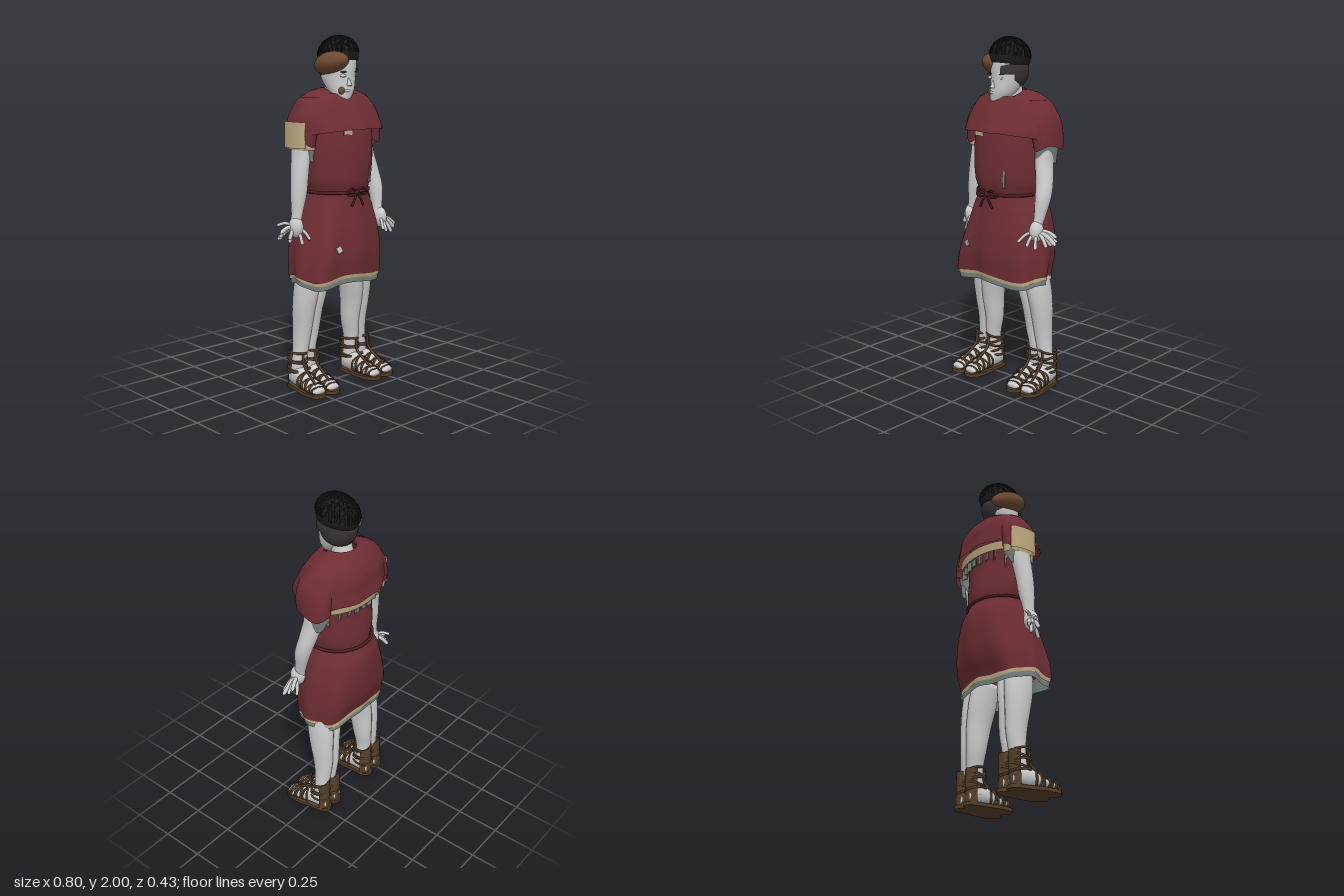
import * as THREE from 'three';

const mat = (color, extra = {}) => new THREE.MeshStandardMaterial({ color, side: THREE.DoubleSide, ...extra });
const skin = mat(0xcccccc), red = mat(0x6e2d34), darkRed = mat(0x4d1e24), hairMat = mat(0x1b1b1c, { flatShading: true });
const temple = mat(0x3a3236), scalp = mat(0x6f4a33), leather = mat(0x56402b), beige = mat(0xbfa982), lining = mat(0x77847f);

// Catmull-Rom resampling of cross-section rows
function smoothRows(rows, steps) {
  const out = [], last = rows.length - 1, at = i => rows[Math.min(last, Math.max(0, i))];
  for (let i = 0; i < last; i++) for (let s = 0; s < steps; s++) {
    const t = s / steps, [a, b, c, d] = [at(i - 1), at(i), at(i + 1), at(i + 2)];
    const blend = (v, k) => 0.5 * (2 * v + (c[k] - a[k]) * t
      + (2 * a[k] - 5 * v + 4 * c[k] - d[k]) * t * t + (3 * v - a[k] - 3 * c[k] + d[k]) * t * t * t);
    out.push(b.map((v, k) => (k === 0 ? v + (c[0] - v) * t : blend(v, k))));
  }
  out.push(rows[last]);
  return out;
}

// Skin over rings [y, centreX, radiusX, centreZ, radiusZ], rows given from low to high
function loft(rows, { n = 32, steps = 4, caps = false, fold = () => 1, rise = () => 0 } = {}) {
  const r = smoothRows(rows, steps), pos = [], idx = [];
  r.forEach(([y, cx, rx, cz, rz], i) => {
    const t = i / (r.length - 1);
    for (let j = 0; j < n; j++) {
      const a = j / n * Math.PI * 2, f = fold(a, t);
      pos.push(cx + rx * f * Math.cos(a), y + rise(a, t), cz + rz * f * Math.sin(a));
    }
  });
  for (let i = 0; i < r.length - 1; i++) for (let j = 0; j < n; j++) {
    const a = i * n + j, b = i * n + (j + 1) % n;
    idx.push(a, a + n, b, b, a + n, b + n);
  }
  if (caps) [0, r.length - 1].forEach((i, top) => {
    const c = pos.length / 3, [y, cx, , cz] = r[i];
    pos.push(cx, y, cz);
    for (let j = 0; j < n; j++) {
      const a = i * n + j, b = i * n + (j + 1) % n;
      idx.push(c, ...(top ? [b, a] : [a, b]));
    }
  });
  const g = new THREE.BufferGeometry();
  g.setAttribute('position', new THREE.Float32BufferAttribute(pos, 3));
  g.setIndex(idx);
  g.computeVertexNormals();
  return g;
}

function add(parent, name, geo, material, p = [0, 0, 0], s = [1, 1, 1], r = [0, 0, 0]) {
  const m = new THREE.Mesh(geo, material);
  m.name = name;
  m.position.set(...p); m.scale.set(...s); m.rotation.set(...r);
  parent.add(m);
}
const ball = new THREE.SphereGeometry(1, 24, 16);
const tube = (pts, r, closed = false) => new THREE.TubeGeometry(
  new THREE.CatmullRomCurve3(pts.map(p => new THREE.Vector3(...p)), closed), closed ? 40 : 10, r, 6, closed);
const group = (parent, name) => { const g = new THREE.Group(); g.name = name; parent.add(g); return g; };

function buildHead(root) {
  const head = group(root, 'head');
  add(head, 'neck', loft([[1.58, 0, .075, -.03, .07], [1.68, -.005, .06, -.02, .06], [1.78, 0, .06, .01, .06]], { n: 20 }), skin);
  add(head, 'face', loft([[1.63, -.03, .02, .095, .02], [1.66, -.025, .052, .07, .05], [1.70, -.015, .073, .045, .08],
    [1.76, -.008, .087, .018, .105], [1.83, -.005, .09, .012, .115], [1.90, 0, .085, .01, .11], [1.95, 0, .05, .01, .07]], { caps: true }), skin);
  add(head, 'nose', new THREE.ConeGeometry(.016, .06, 8), skin, [-.025, 1.75, .12], [1, 1, .9], [-.2, 0, 0]);
  for (const x of [-.055, .02]) {
    add(head, 'eye', ball, skin, [x, 1.776, .106], [.018, .009, .013]);
    add(head, 'brow', ball, temple, [x, 1.797, .11], [.024, .005, .01]);
  }
  add(head, 'mouth', ball, skin, [-.03, 1.695, .115], [.024, .009, .012]);
  add(head, 'beardPatch', ball, scalp, [-.058, 1.695, .1], [.022, .022, .016]);
  // Dark band around the brow and cropped hair behind the ears
  add(head, 'browBand', new THREE.SphereGeometry(1, 32, 8, Math.PI * .6, Math.PI * 1.35, 1.1, .65), temple, [0, 1.815, .01], [.097, .1, .119]);
  add(head, 'croppedHair', new THREE.SphereGeometry(1, 32, 10, Math.PI * .82, Math.PI * 1.28, 1.2, 1.2), temple, [0, 1.81, .002], [.096, .11, .109]);
  add(head, 'bareScalp', ball, scalp, [-.066, 1.845, .024], [.078, .064, .117], [-.22, 0, 0]);

  // Hair cap crossed by braids
  const hair = group(head, 'hair');
  hair.position.set(0, 1.888, .007); hair.scale.set(.101, .107, .132); hair.rotation.x = -.15;
  add(hair, 'hairCap', new THREE.SphereGeometry(.99, 24, 14, 0, Math.PI * 2, 0, Math.PI * .64), hairMat);
  for (let k = 0; k < 4; k++) for (let i = -5; i <= 5; i++) {
    const d = i / 6 + .03 * Math.sin(i * 7 + k * 3), rad = Math.sqrt(1 - d * d), yaw = k * Math.PI / 4 + .08 * Math.sin(i * 5 + k);
    const braid = new THREE.TorusGeometry(rad, .028, 4, 20, Math.PI).translate(0, 0, d);
    add(hair, 'braid', braid, hairMat, [0, 0, 0], [1, 1, 1], [0, yaw, 0]);
  }
}

function buildTunic(root) {
  const tunic = group(root, 'tunic');
  const soft = (a, t) => 1 + .022 * Math.sin(7 * a + 1) * (1 - t);
  add(tunic, 'bodice', loft([[1.12, -.008, .185, -.003, .165], [1.2, -.008, .207, .005, .177], [1.34, -.005, .214, .013, .174],
    [1.5, 0, .21, .008, .165], [1.6, 0, .2, -.01, .14]], { n: 48, fold: soft }), red);
  // Boxy skirt with folds that deepen toward the hem and one flared front corner
  const fold = (a, t) => {
    const p = 2 + .7 * (1 - t), box = (Math.abs(Math.cos(a)) ** p + Math.abs(Math.sin(a)) ** p) ** (-1 / p);
    const corner = .13 * Math.exp(-(((a - 2.25) / .22) ** 2));
    return box * (1 + (1 - t) * (.035 * Math.cos(8 * a) + .02 * Math.sin(5 * a + .5) + corner));
  };
  const wave = (a, t) => (1 - t) * .012 * Math.sin(4 * a + 1);
  const skirt = [[.66, -.028, .288, .015, .165], [.78, -.018, .282, .002, .193], [.92, -.006, .258, -.008, .197],
    [1.05, -.005, .222, -.014, .187], [1.13, -.008, .19, -.003, .168]];
  add(tunic, 'skirt', loft(skirt, { n: 96, fold, rise: wave }), red);
  const hem = (y0, y1, s) => loft([[y0, -.024, .288 * s, .012, .165 * s], [y1, -.027, .288 * s, .014, .168 * s]],
    { n: 96, steps: 1, fold: a => fold(a, 0), rise: a => wave(a, 0) });
  add(tunic, 'hemTrim', hem(.64, .675, .985), beige);
  add(tunic, 'underskirt', hem(.612, .70, .96), lining);

  // Shoulder cape: the front edge sits higher than the sides
  add(tunic, 'cape', loft([[1.46, 0, .299, -.003, .212], [1.52, 0, .297, -.012, .193], [1.59, 0, .28, -.025, .172],
    [1.65, 0, .238, -.028, .142], [1.69, 0, .165, -.02, .115], [1.708, 0, .085, -.01, .088]], {
    n: 64, fold: (a, t) => 1 + (1 - t) * .025 * Math.sin(9 * a),
    rise: (a, t) => (1 - t) * (.025 * Math.max(0, Math.sin(a)) - .015 * Math.cos(a) ** 4) - t ** 4 * .045 * Math.max(0, Math.sin(a)),
  }), red);
  const arc = (y, rx, rz, cx, cz, from, to) => Array.from({ length: 9 }, (_, i) => {
    const a = from + (to - from) * i / 8;
    return [cx + rx * Math.cos(a), y, cz + rz * Math.sin(a)];
  });
  add(tunic, 'backTrim', new THREE.CylinderGeometry(1, .97, .05, 32, 1, true, Math.PI * .68, Math.PI * .64), beige, [0, 1.435, -.005], [.275, 1, .192]);
  for (let i = -3; i <= 3; i++)
    add(tunic, 'backTatter', new THREE.BoxGeometry(.035, .045 + .012 * Math.abs(i % 2), .008), lining,
      [i * .052, 1.395, -.172 + .004 * i * i], [1, 1, 1], [0, i * .13, 0]);
  add(tunic, 'chestPatch', new THREE.BoxGeometry(.06, .03, .01), beige, [-.08, 1.472, .172]);
  add(tunic, 'sideTear', new THREE.BoxGeometry(.012, .1, .008), lining, [.095, 1.23, .166], [1, 1, 1], [0, .25, -.05]);
  add(tunic, 'skirtTear', new THREE.BoxGeometry(.03, .035, .008), skin, [-.165, .83, .195], [1, 1, 1], [0, -.3, .5]);

  for (const s of [-1, 1]) {
    const ragged = (a, t) => (1 - t) * .015 * Math.sin(3 * a);
    add(tunic, 'sleeve', loft([[1.405, s * .25, .062, -.03, .105], [1.5, s * .24, .067, -.025, .113], [1.58, s * .222, .062, -.025, .1],
      [1.66, s * .17, .05, -.02, .07]], { rise: ragged }), red);
    add(tunic, 'sleeveLining', loft([[1.335, s * .226, .046, -.035, .075], [1.45, s * .238, .054, -.03, .095]], { rise: (a, t) => ragged(a, t) * 2 }), lining);
  }
  add(tunic, 'sleeveTrim', loft([[1.375, -.243, .056, -.03, .095], [1.43, -.246, .059, -.03, .1]]), beige);
  add(tunic, 'sleevePatch', loft([[1.385, -.29, .026, -.03, .085], [1.53, -.288, .022, -.03, .085]], { n: 16 }), beige);

  // Cord belt with a bow
  add(tunic, 'belt', tube(arc(1.135, .195, .176, -.008, -.003, 0, Math.PI * 16 / 9), .009, true), darkRed);
  const bow = group(tunic, 'bow');
  bow.position.set(-.02, 1.135, .178);
  add(bow, 'knot', ball, darkRed, [0, 0, 0], [.017, .015, .014]);
  for (const s of [-1, 1]) {
    add(bow, 'bowLoop', tube([[0, 0, 0], [s * .045, .022, .008], [s * .075, -.005, .006], [s * .035, -.015, .01]], .006, true), darkRed);
    add(bow, 'bowTail', tube([[0, 0, 0], [s * .022, -.035, .012], [s * .045, -.075, .008]], .006), darkRed);
  }
}

function buildArm(root, name, rows, palm, tips) {
  const arm = group(root, name);
  add(arm, 'armSkin', loft(rows, { n: 20, caps: true }), skin);
  add(arm, 'palm', ball, skin, palm, [.038, .06, .045]);
  tips.forEach((tip, i) => {
    const mid = palm.map((v, k) => v + (tip[k] - v) * .6 + (k === 1 ? .014 : 0));
    add(arm, 'finger', tube([palm, mid, tip], .0125 - .0005 * i), skin);
    add(arm, 'fingertip', ball, skin, tip, [.009, .009, .009]);
  });
}

// Foot with a strapped sandal, heel toward -z
function buildFoot(root, x, yaw) {
  const foot = group(root, 'sandalledFoot');
  foot.position.x = x; foot.rotation.y = yaw;
  const rows = [[-.105, 0, .028, -.05, .03], [-.06, 0, .044, -.068, .055], [0, 0, .047, -.068, .055], [.07, 0, .053, -.05, .035],
    [.13, 0, .054, -.038, .022], [.17, 0, .035, -.032, .013]];
  add(foot, 'footSkin', loft(rows, { n: 20, caps: true }).rotateX(Math.PI / 2), skin);
  const sole = new THREE.Shape();
  sole.moveTo(0, -.19);
  sole.bezierCurveTo(.07, -.19, .065, -.08, .05, 0);
  sole.bezierCurveTo(.045, .06, .055, .12, 0, .122);
  sole.bezierCurveTo(-.055, .12, -.045, .06, -.05, 0);
  sole.bezierCurveTo(-.065, -.08, -.07, -.19, 0, -.19);
  add(foot, 'sole', new THREE.ExtrudeGeometry(sole, { depth: .02, bevelEnabled: false, curveSegments: 8 }).rotateX(-Math.PI / 2), leather);
  const ring = new THREE.TorusGeometry(1, .12, 5, 20);
  for (const [z, w, h, y, tilt] of [[.15, .048, .02, .036, 0], [.12, .056, .028, .04, .25], [.12, .056, .028, .04, -.25],
    [.08, .056, .038, .05, .3], [.08, .056, .038, .05, -.3], [.035, .054, .05, .06, .3], [.035, .054, .05, .06, -.3]])
    add(foot, 'toeStrap', ring, leather, [0, y, z], [w, h, .06], [0, tilt, 0]);
  for (let i = 0; i < 5; i++)
    add(foot, 'ankleStrap', ring, leather, [0, .095 + i * .028, -.05], [.052, .06 - i * .002, .06], [Math.PI / 2 + (i % 2 ? .25 : -.1), i % 2 ? .15 : -.15, 0]);
  add(foot, 'heelGuard', new THREE.CylinderGeometry(.053, .052, .19, 16, 1, true, Math.PI * .6, Math.PI * .8), leather, [0, .115, -.053], [.95, 1, 1.1]);
  add(foot, 'lace', tube([[0, .06, .13], [0, .1, .07], [0, .145, .015], [0, .21, .006]], .008), leather);
}

export function createModel() {
  const root = new THREE.Group();
  root.name = 'tunicFigure';
  buildHead(root);
  buildTunic(root);
  buildArm(root, 'leftArm', [[.96, .255, .028, .075, .033], [1.02, .263, .03, .06, .034], [1.13, .268, .043, .037, .048], [1.22, .257, .046, .012, .053],
    [1.34, .232, .046, -.015, .062], [1.55, .225, .05, -.03, .065]], [.262, .95, .085],
  [[.387, .895, .08], [.36, .925, .04], [.35, .885, .11], [.325, .875, .04], [.30, .87, .14], [.25, .88, .15], [.205, .90, .168], [.375, .905, .055]]);
  buildArm(root, 'rightArm', [[.96, -.31, .028, -.005, .033], [1.02, -.3, .03, -.005, .034], [1.13, -.284, .044, -.008, .048], [1.22, -.274, .047, -.012, .053],
    [1.34, -.255, .048, -.022, .062], [1.55, -.23, .05, -.03, .065]], [-.312, .95, 0],
  [[-.391, .925, -.03], [-.38, .885, -.065], [-.365, .895, .01], [-.34, .87, -.02], [-.31, .865, .05], [-.275, .89, .07], [-.375, .96, -.075], [-.387, .9, -.045]]);
  // Each leg is a pair of overlapping limbs, each with its own sandal
  for (const s of [-1, 1]) {
    const leg = group(root, s > 0 ? 'leftLeg' : 'rightLeg');
    const x = v => s * v - (s < 0 ? .025 : 0);
    [[.148, .13, .15], [.207, .195, .245]].forEach(([shin, thigh, footX], outer) => {
      add(leg, 'legSkin', loft([[.06, x(footX - .005), .042, -.05, .042], [.2, x(shin + .012), .043, -.05, .046], [.32, x(shin), .05, -.048, .06],
        [.46, x(shin - .003), .058, -.035, .075], [.58, x(thigh), .06, -.022, .087], [.7, x(thigh - .015), .055, -.012, .085]], { n: 24, caps: true }), skin);
      buildFoot(leg, x(footX), s * (outer ? .1 : .04));
    });
  }
  return root;
}
